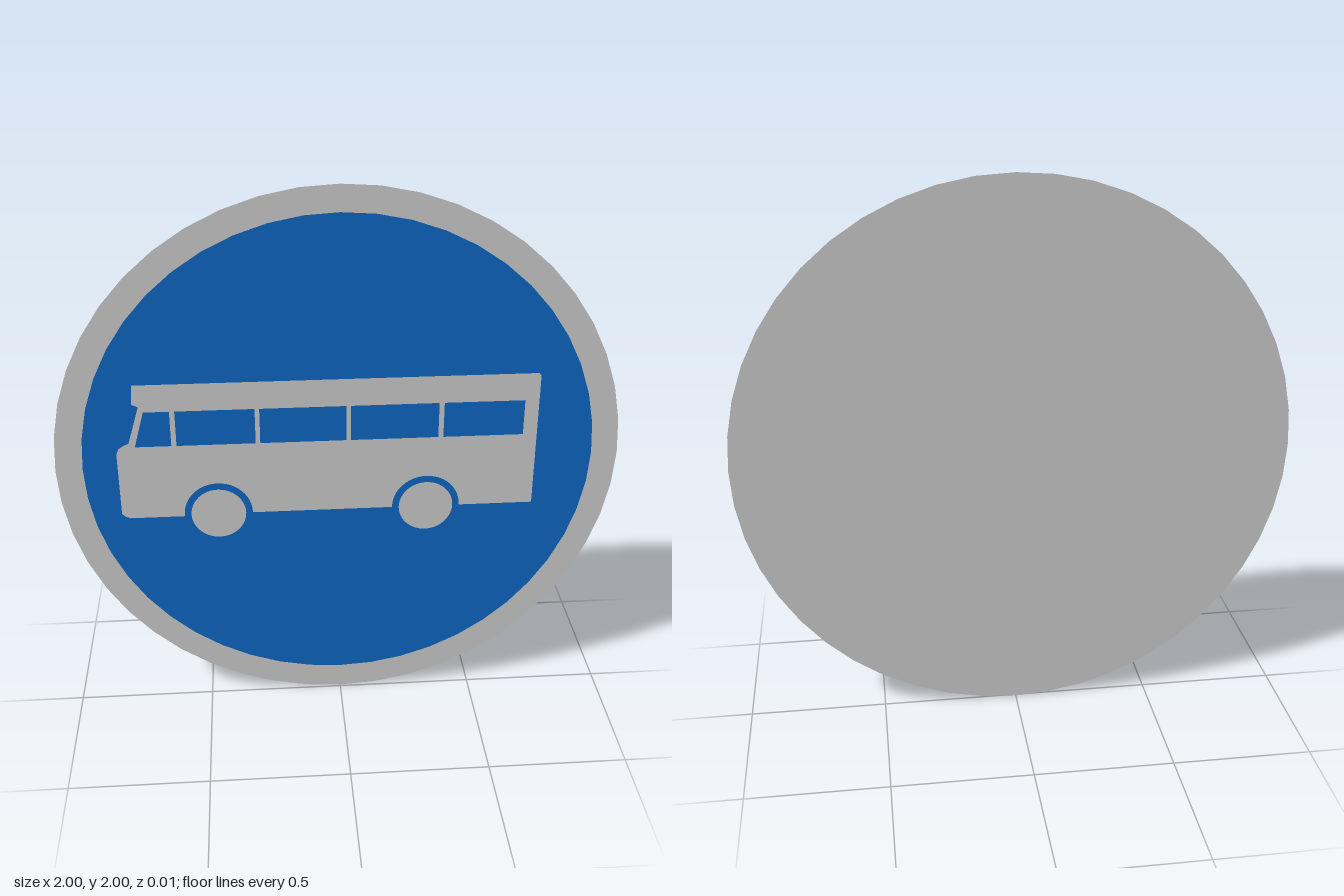
import * as THREE from 'three';

const grey = new THREE.MeshStandardMaterial({ color: 0xcccccc });
const greyBoth = new THREE.MeshStandardMaterial({ color: 0xcccccc, side: THREE.DoubleSide });
const blue = new THREE.MeshStandardMaterial({ color: 0x0d67c3 });

export function createModel() {
  const sign = new THREE.Group();
  sign.name = 'roundBusSign';

  const add = (name, geometry, material, x, y, z) => {
    const mesh = new THREE.Mesh(geometry, material);
    mesh.name = name;
    mesh.position.set(x, y, z);
    sign.add(mesh);
  };
  const disc = (name, radius, material, x, y, z) =>
    add(name, new THREE.CircleGeometry(radius, 48), material, x, y, z);
  const panel = (name, points, material, z) => {
    const shape = new THREE.Shape(points.map(([x, y]) => new THREE.Vector2(x, y)));
    add(name, new THREE.ShapeGeometry(shape), material, 0, 0, z);
  };

  // Backing plate, whose edge forms the border, and the blue field
  disc('plate', 1, greyBoth, 0, 1, -0.007);
  disc('field', 0.905, blue, 0, 1.003, -0.004);

  // Bus silhouette, counter-clockwise from the lower front corner
  panel('busBody', [
    [-0.755, 0.8], [-0.56, 0.8], [-0.56, 0.806], [0.7, 0.806],
    [0.7, 1.312], [0.692, 1.322], [-0.712, 1.322], [-0.717, 1.25], [-0.695, 1.24],
    [-0.738, 1.1], [-0.755, 1.094], [-0.775, 1.08], [-0.783, 1.06],
    [-0.783, 0.82], [-0.772, 0.808],
  ], grey, -0.001);

  // Slanted cab window and the four side windows
  const sill = 1.09, head = 1.223;
  panel('cabWindow', [[-0.716, sill], [-0.59, sill], [-0.59, head], [-0.679, head]], blue, 0.007);
  for (const [x0, x1] of [[-0.572, -0.297], [-0.281, 0.021], [0.037, 0.346], [0.364, 0.648]]) {
    panel('sideWindow', [[x0, sill], [x1, sill], [x1, head], [x0, head]], blue, 0.007);
  }

  // Wheel arches and wheels
  for (const x of [-0.438, 0.31]) {
    disc('wheelArch', 0.122, blue, x, 0.81, 0.002);
    disc('wheel', 0.098, grey, x, 0.81, 0.005);
  }

  return sign;
}
